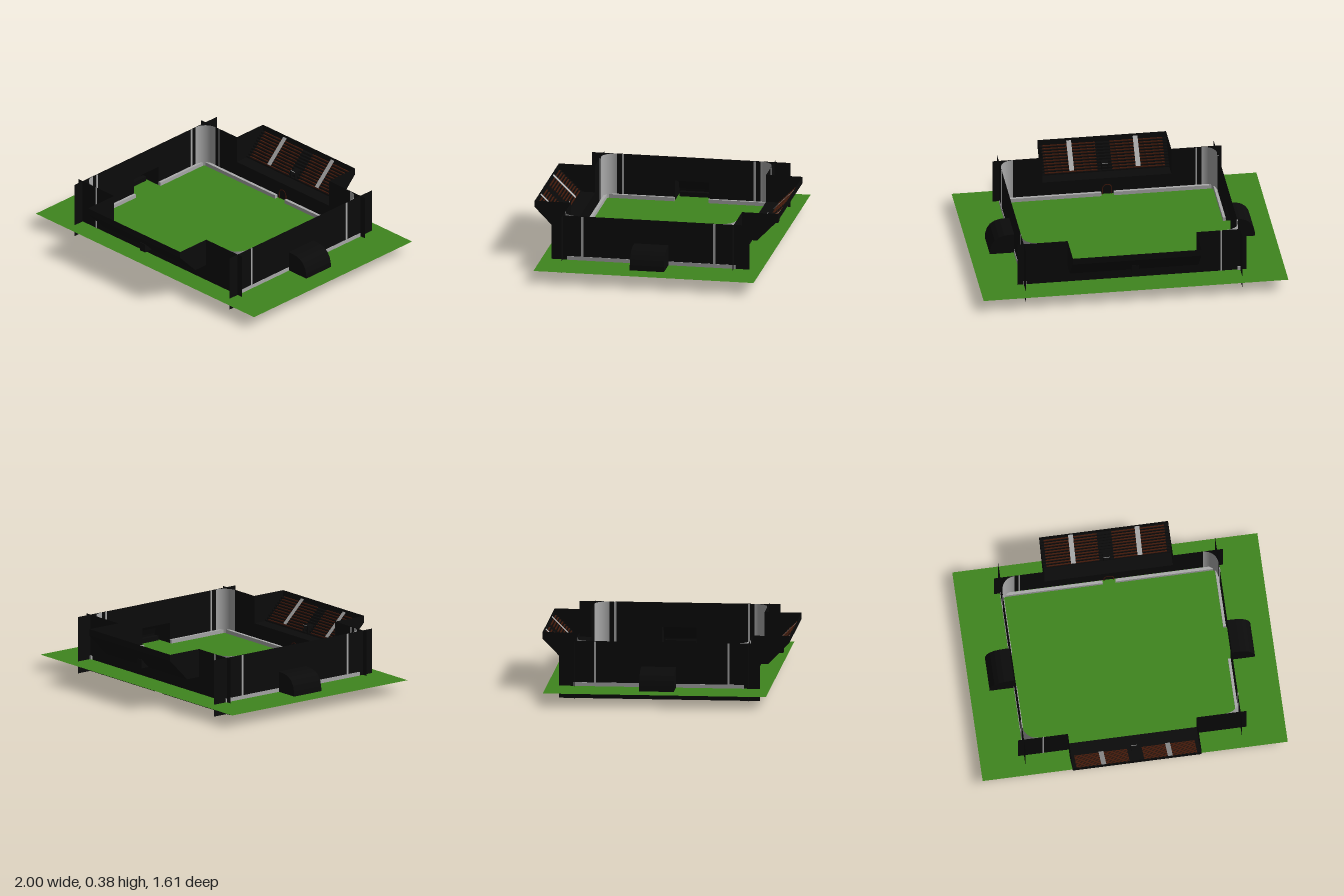
import * as THREE from 'three';

const mat = (color) => new THREE.MeshStandardMaterial({ color, side: THREE.DoubleSide });
const black = mat(0x0b0b0b), grass = mat(0x3f861e), grey = mat(0xaaaaaa), brown = mat(0x42190a);

const GROUND = 0.08, TOP = 0.378;
const WALL_X = 0.71, WALL_Z = 0.565, FLOOR = 0.195;

function add(parent, name, geometry, material, x = 0, y = 0, z = 0) {
  const mesh = new THREE.Mesh(geometry, material);
  mesh.name = name;
  mesh.position.set(x, y, z);
  parent.add(mesh);
  return mesh;
}

// Box given by its lower and upper corners
function box(parent, name, material, x0, x1, y0, y1, z0, z1) {
  return add(parent, name, new THREE.BoxGeometry(x1 - x0, y1 - y0, z1 - z0), material,
    (x0 + x1) / 2, (y0 + y1) / 2, (z0 + z1) / 2);
}

const outline = (pts) => new THREE.Shape(pts.map(([a, b]) => new THREE.Vector2(a, b)));

// Flat panel whose outline is given as [z, y], standing at a given x
function sidePanel(parent, name, shape, x) {
  const panel = add(parent, name, new THREE.ShapeGeometry(shape), black, x);
  panel.rotation.y = -Math.PI / 2;
  return panel;
}

// Faceted sheet: a [z, y] profile carried from x0 to x1
function sheet(parent, name, material, profile, x0, x1) {
  const pos = [];
  for (let i = 0; i < profile.length - 1; i++) {
    const [za, ya] = profile[i], [zb, yb] = profile[i + 1];
    pos.push(x0, ya, za, x1, ya, za, x1, yb, zb);
    pos.push(x0, ya, za, x1, yb, zb, x0, yb, zb);
  }
  const g = new THREE.BufferGeometry();
  g.setAttribute('position', new THREE.Float32BufferAttribute(pos, 3));
  g.computeVertexNormals();
  return add(parent, name, g, material);
}

// Grandstand facing the pitch, with stepped seating
function grandstand() {
  const g = new THREE.Group();
  g.name = 'grandstand';
  const half = 0.422, rows = 10, z0 = 0.655, y0 = 0.205, dz = 0.0145, dy = 0.0145;

  const steps = [[WALL_Z, FLOOR], [z0, FLOOR]];
  for (let i = 0; i < rows; i++) {
    const z = z0 + i * dz, y = y0 + i * dy;
    steps.push([z, y], [z + dz, y]);
  }
  steps.push([0.805, y0 + (rows - 1) * dy], [0.805, TOP]);
  sheet(g, 'seatingDeck', black, steps, -half, half);
  sheet(g, 'standUnderside', black,
    [[WALL_Z, FLOOR - 0.004], [0.665, FLOOR - 0.004], [0.805, 0.335], [0.805, TOP]], -half, half);

  for (const s of [-1, 1]) {
    sidePanel(g, 'standSideWall', outline([[WALL_Z, FLOOR - 0.004], [0.665, FLOOR - 0.004],
      [0.805, 0.335], [0.805, TOP], [WALL_Z, TOP]]), s * half);
    for (let i = 0; i < rows; i++) {
      const z = z0 + i * dz + 0.004, y = y0 + i * dy;
      const [a, b] = s > 0 ? [0.048, 0.395] : [-0.395, -0.048];
      box(g, 'seatRow', brown, a, b, y, y + 0.006, z, z + 0.008);
    }
    const x = s * 0.218;
    sheet(g, 'aisle', grey, [[z0, y0 + 0.012], [0.803, y0 + 0.012 + rows * dy]], x - 0.016, x + 0.016);
  }

  // Entrance box through the seating: open towards the pitch
  for (const s of [-1, 1]) box(g, 'entranceSide', black, s * 0.02 - 0.003, s * 0.02 + 0.003, 0.192, 0.25, 0.655, 0.727);
  box(g, 'entranceRoof', black, -0.023, 0.023, 0.245, 0.25, 0.655, 0.727);
  box(g, 'entranceBack', black, -0.023, 0.023, 0.192, 0.25, 0.722, 0.727);
  box(g, 'entranceRail', grey, -0.02, 0.02, 0.25, 0.252, 0.654, 0.657);
  return g;
}

// End wall: lowered in front of the stand, with a gap beneath the gate
function endWall(parent) {
  const shape = outline([[-0.75, 0], [-0.04, 0], [-0.04, 0.075], [0.04, 0.075], [0.04, 0], [0.75, 0],
    [0.75, TOP], [0.422, TOP], [0.422, FLOOR], [-0.422, FLOOR], [-0.422, TOP], [-0.75, TOP]]);
  add(parent, 'endWall', new THREE.ShapeGeometry(shape), black, 0, 0, WALL_Z);

  // Arched gate on the pitch side
  const arch = add(parent, 'gateArch', new THREE.TorusGeometry(0.03, 0.003, 6, 16, Math.PI), brown,
    0, 0.12, WALL_Z - 0.004);
  arch.scale.z = 0.6;
  for (const s of [-1, 1]) {
    box(parent, 'gatePost', brown, s * 0.03 - 0.003, s * 0.03 + 0.003, GROUND, 0.12, WALL_Z - 0.006, WALL_Z - 0.002);
    const [a, b] = s > 0 ? [0.042, 0.68] : [-0.68, -0.042];
    box(parent, 'endBoard', grey, a, b, 0.077, 0.105, 0.535, 0.555);
  }
}

// Rounded shelter outside the side wall; local +z points away from the pitch
function dugout() {
  const g = new THREE.Group();
  g.name = 'dugout';
  const profile = [[0.87, GROUND], [0.868, 0.115], [0.858, 0.15], [0.838, 0.18],
    [0.81, 0.2], [0.775, 0.211], [WALL_X, 0.215]];
  sheet(g, 'dugoutRoof', black, profile, -0.113, 0.113);
  for (const s of [-1, 1]) sidePanel(g, 'dugoutEnd', outline([[WALL_X, GROUND], ...profile]), s * 0.113);
  box(g, 'dugoutBench', black, -0.1, 0.1, GROUND, 0.11, 0.81, 0.84);
  return g;
}

export function createModel() {
  const model = new THREE.Group();
  model.name = 'stadium';

  // Grass field
  const field = add(model, 'grassField', new THREE.PlaneGeometry(2, 1.455), grass, 0, GROUND, -0.0225);
  field.rotation.x = -Math.PI / 2;

  // Two ends, each with wall, gate, boards and grandstand
  for (const turn of [0, Math.PI]) {
    const end = new THREE.Group();
    end.name = turn ? 'backEnd' : 'frontEnd';
    endWall(end);
    end.add(grandstand());
    end.rotation.y = turn;
    model.add(end);
  }

  for (const s of [-1, 1]) {
    // Side wall with an opening for the dugout
    const shape = outline([[-0.67, 0], [0.64, 0], [0.64, TOP], [-0.67, TOP]]);
    shape.holes.push(new THREE.Path([[-0.133, GROUND], [-0.133, 0.215], [0.093, 0.215], [0.093, GROUND]]
      .map(([a, b]) => new THREE.Vector2(a, b))));
    sidePanel(model, 'sideWall', shape, s * WALL_X);

    const shelter = dugout();
    shelter.rotation.y = s * Math.PI / 2;
    shelter.position.z = -0.02;
    model.add(shelter);

    // Low boards along the side
    const xa = Math.min(s * 0.692, s * 0.713), xb = Math.max(s * 0.692, s * 0.713);
    box(model, 'sideBoard', grey, xa, xb, 0.077, 0.105, -0.575, -0.133);
    box(model, 'sideBoard', grey, xa, xb, 0.077, 0.105, 0.093, 0.537);

    for (const t of [-1, 1]) {
      // Curved corner panel
      const start = s > 0 ? (t > 0 ? 0 : Math.PI / 2) : (t > 0 ? -Math.PI / 2 : Math.PI);
      add(model, 'cornerPanel',
        new THREE.CylinderGeometry(0.09, 0.09, TOP - GROUND, 12, 1, true, start, Math.PI / 2), grey,
        s * 0.618, (TOP + GROUND) / 2, t * 0.473);

      // Light strip on the side wall
      box(model, 'sideWallStrip', grey, s * WALL_X - 0.003, s * WALL_X + 0.003, GROUND, TOP - 0.002,
        t * 0.436 - 0.007, t * 0.436 + 0.007);
    }

    // Light strip on the end wall
    box(model, 'endWallStrip', grey, -0.59, -0.58, GROUND, TOP - 0.002, s * WALL_Z - 0.003, s * WALL_Z + 0.003);
  }
  return model;
}
